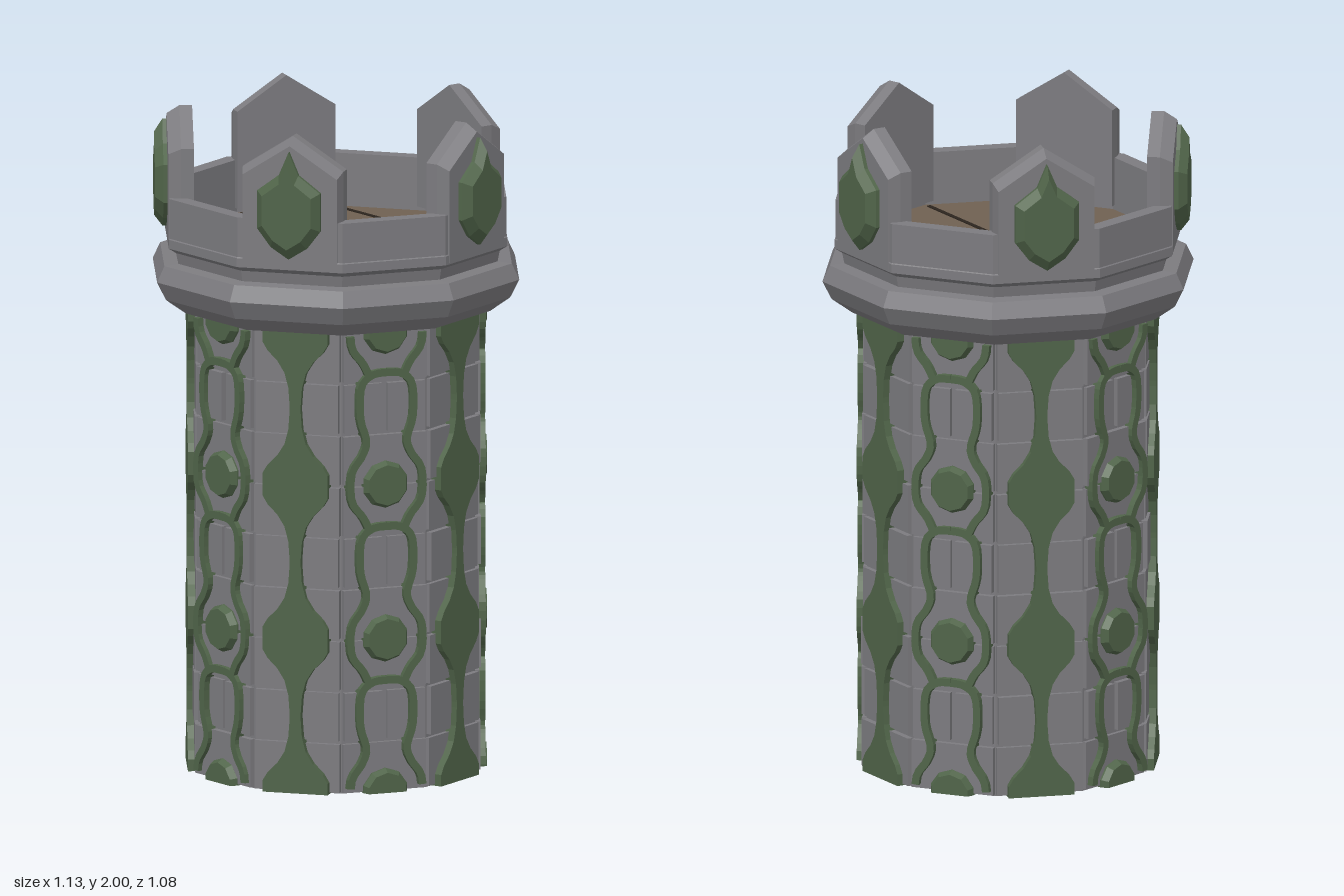
import * as THREE from 'three';

const SIDES = 10, STEP = (Math.PI * 2) / SIDES, PERIOD = 1.4 / 3, TOP = 1.4;
const stone = new THREE.MeshStandardMaterial({ color: 0x7c7b7f });
stone.name = 'grey stone';
const moss = new THREE.MeshStandardMaterial({ color: 0x506449 });
moss.name = 'moss green';
const wood = new THREE.MeshStandardMaterial({ color: 0x6f6051 });
wood.name = 'brown wood';
const dark = new THREE.MeshStandardMaterial({ color: 0x2c251e });
dark.name = 'dark gap';

function add(parent, name, geometry, material, x = 0, y = 0, z = 0) {
  const mesh = new THREE.Mesh(geometry, material);
  mesh.name = name;
  mesh.position.set(x, y, z);
  parent.add(mesh);
  return mesh;
}

function flat(geometry) {
  const g = geometry.index ? geometry.toNonIndexed() : geometry;
  g.computeVertexNormals();
  return g;
}

// Plate whose front outline is shrunk about (0, cy); the last step forms the chamfer
function plate(points, depth, scale = 1, cy = 0, steps = 1) {
  const shape = new THREE.Shape(points.map(([x, y]) => new THREE.Vector2(x, y)));
  const g = new THREE.ExtrudeGeometry(shape, { depth, steps, bevelEnabled: false });
  const p = g.attributes.position;
  for (let i = 0; i < p.count; i++) {
    if (p.getZ(i) > depth - 1e-5) p.setXY(i, p.getX(i) * scale, cy + (p.getY(i) - cy) * scale);
  }
  return flat(g);
}

// Mirror a right-hand outline (listed bottom to top) to the left
function mirrored(right) {
  const left = right.filter(([x]) => x > 0).map(([x, y]) => [-x, y]).reverse();
  return [...right, ...left];
}

// Flat band of constant width along a curve, cut to the height of the shaft
function ribbon(points, width, depth) {
  const curve = new THREE.SplineCurve(points.map(([x, y]) => new THREE.Vector2(x, y)));
  const a = [], b = [];
  for (let i = 0; i <= 30; i++) {
    const p = curve.getPoint(i / 30), t = curve.getTangent(i / 30);
    if (p.y < -0.004 || p.y > TOP + 0.01) continue;
    a.push([p.x - t.y * width / 2, Math.max(0, p.y + t.x * width / 2)]);
    b.push([p.x + t.y * width / 2, Math.max(0, p.y - t.x * width / 2)]);
  }
  return a.length > 1 ? plate([...a, ...b.reverse()], depth) : null;
}

// Brick courses on one face
function addBricks(face, index) {
  const h = TOP / 9;
  for (let row = 0; row < 9; row++) {
    const halves = row % 3 === 1 ? 2 : 1;
    const w = 0.262 / halves;
    for (let k = 0; k < halves; k++) {
      const bump = 0.003 * Math.sin(index * 5.1 + row * 2.7 + k * 1.9);
      const g = new THREE.BoxGeometry(w - (halves - 1) * 0.012, h - 0.01, 0.05);
      add(face, 'brick', g, stone, (k - (halves - 1) / 2) * (w + 0.004), (row + 0.5) * h, 0.398 + bump);
    }
  }
}

// Long vine with a leaf-shaped swelling every period
function addStrand(face) {
  const half = [[0.1, 0], [0.1, 0.035], [0.085, 0.06], [0.055, 0.09], [0.033, 0.125], [0.021, 0.17], [0.017, 0.225]];
  const right = [];
  for (let c = 0; c < 4; c++) {
    for (const [x, y] of half.slice(1).reverse()) if (c > 0) right.push([x, c * PERIOD - y]);
    if (c === 0 || c === 3) right.push([0.1, c * PERIOD]);
    if (c < 3) for (const [x, y] of half.slice(1)) right.push([x, c * PERIOD + y]);
  }
  add(face, 'vine strand', plate(mirrored(right), 0.035), moss, 0, 0, 0.408);
}

// Round bosses framed by vase-shaped vines
function addBossesAndLoops(face) {
  for (let c = 0; c < 4; c++) {
    const pts = [];
    for (let i = 0; i < 10; i++) {
      const t = ((i + 0.5) / 10) * Math.PI * 2;
      const y = c * PERIOD + 0.072 * Math.sin(t);
      pts.push([0.072 * Math.cos(t), Math.min(TOP, Math.max(0, y))]);
    }
    add(face, 'boss', plate(pts, 0.04, 0.85, c * PERIOD, 2), moss, 0, 0, 0.406);
  }
  const path = [[0, -0.125], [0.045, -0.13], [0.08, -0.165], [0.083, -0.26], [0.064, -0.33], [0.078, -0.375],
    [0.11, -0.425], [0.11, -0.51], [0.075, -0.56], [0.055, -0.6]];
  for (let c = 1; c <= 4; c++) {
    for (const s of [1, -1]) {
      const pts = path.map(([x, y]) => [s * x, y + c * PERIOD]);
      const g = ribbon(pts, 0.023, 0.03);
      if (g) add(face, 'vine loop', g, moss, 0, 0, 0.41);
    }
  }
}

// Pointed battlement with a green gem on its outer side
function addMerlon(face) {
  const outline = mirrored([[0.155, 1.605], [0.155, 1.9], [0, 2]]);
  add(face, 'merlon', plate(outline, 0.076, 0.94, 1.605, 2), stone, 0, 0, 0.427);
  const gem = mirrored([[0, 1.635], [0.055, 1.67], [0.097, 1.725], [0.097, 1.84], [0.03, 1.89], [0, 1.96]]);
  add(face, 'gem', plate(gem, 0.05, 0.78, 1.785, 2), moss, 0, 0, 0.49);
}

export function createModel() {
  const tower = new THREE.Group();
  tower.name = 'tower';

  // Shaft core, seen in the brick joints
  const r = 0.408 / Math.cos(STEP / 2);
  add(tower, 'shaft core', flat(new THREE.CylinderGeometry(r, r, TOP, SIDES, 1, false, STEP / 2)), stone, 0, TOP / 2);

  for (let i = 0; i < SIDES; i++) {
    const face = new THREE.Group();
    face.name = 'tower side';
    face.rotation.y = i * STEP;
    addBricks(face, i);
    if (i % 2 === 0) {
      addStrand(face);
      addMerlon(face);
    } else addBossesAndLoops(face);
    tower.add(face);
  }

  // Moulded cornice and parapet
  const profile = [[0.4, 1.4], [0.475, 1.4], [0.537, 1.445], [0.565, 1.5], [0.542, 1.548], [0.498, 1.552], [0.505, 1.585],
    [0.528, 1.6], [0.528, 1.627], [0.525, 1.63], [0.525, 1.75], [0.475, 1.75], [0.475, 1.57]];
  const lathe = new THREE.LatheGeometry(profile.map(([x, y]) => new THREE.Vector2(x, y)), SIDES, STEP / 2);
  add(tower, 'cornice and parapet', flat(lathe), stone);

  // Plank floor with dark gaps
  add(tower, 'floor', flat(new THREE.CylinderGeometry(0.48, 0.48, 0.03, SIDES, 1, false, STEP / 2)), wood, 0, 1.575);
  const planks = new THREE.Group();
  planks.name = 'plank gaps';
  planks.rotation.y = -STEP;
  for (const z of [-0.28, 0, 0.28]) {
    add(planks, 'plank gap', new THREE.BoxGeometry(z ? 0.72 : 0.91, 0.004, 0.013), dark, 0, 1.591, z);
  }
  tower.add(planks);
  return tower;
}
